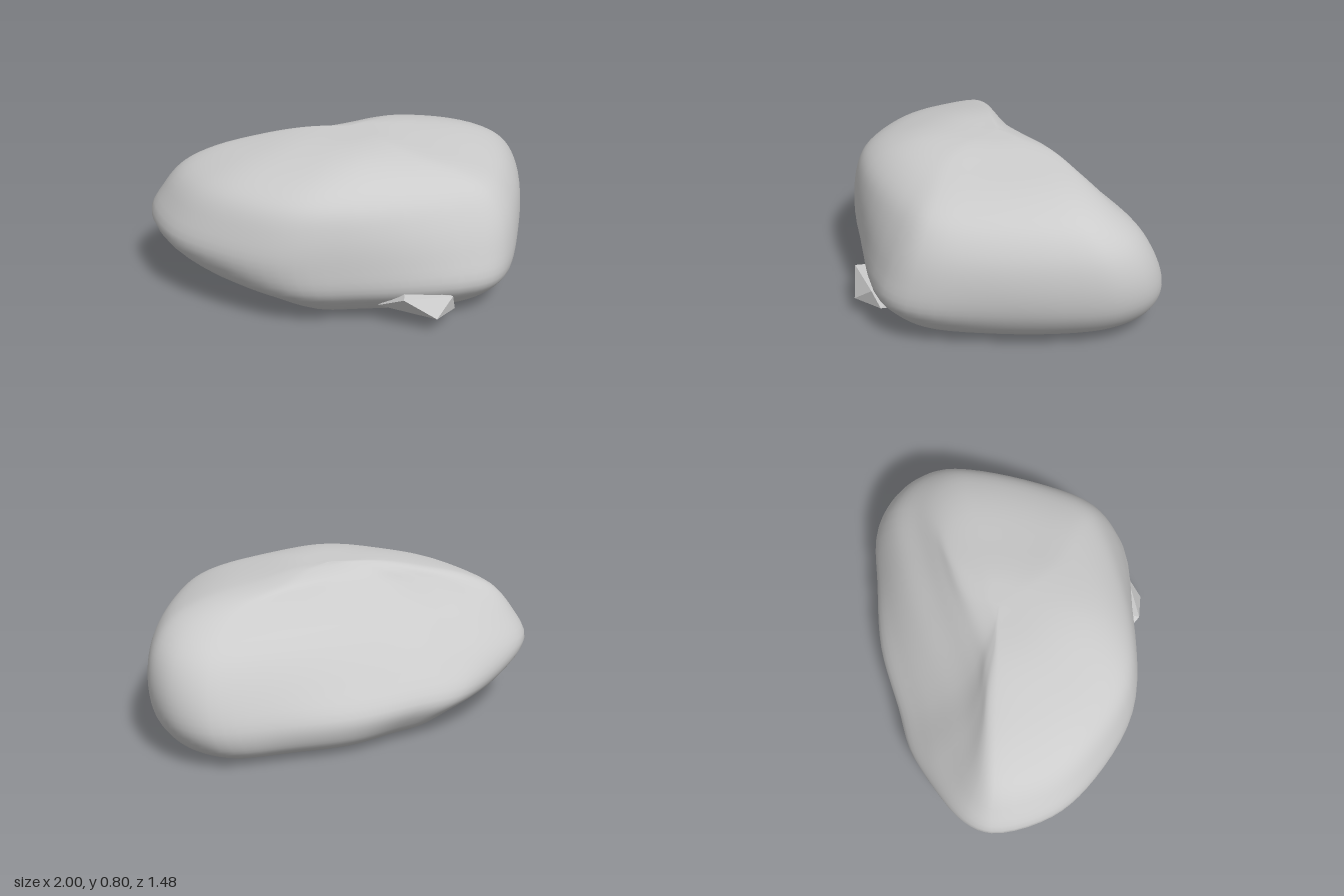
import * as THREE from 'three';
import { ConvexGeometry } from 'three/addons/geometries/ConvexGeometry.js';

// Widest outline of the boulder seen from above: x, z, and how far z is cut back towards the top
const OUTLINE = [
  [-1, -0.11, 0], [-0.92, 0.2, 0], [-0.73, 0.42, 0], [-0.38, 0.63, 0], [0, 0.66, 0],
  [0.6, 0.65, 0.22], [0.76, 0.54, 0.22], [0.9, 0.18, 0.1], [0.99, -0.25, 0], [0.985, -0.46, 0],
  [0.9, -0.63, 0], [0.74, -0.73, 0], [0.42, -0.725, 0.1], [0.05, -0.695, 0.33], [-0.35, -0.595, 0.56],
  [-0.65, -0.515, 0.56], [-0.92, -0.31, 0.4],
];

// Levels: height, then reach to -x, +x, -z, +z
const LEVELS = [
  [0.012, 0.03, 0.03, -0.07, -0.03],
  [0.012, -0.25, 0.42, -0.32, 0.24],
  [0.012, -0.48, 0.77, -0.58, 0.45],
  [0.045, -0.56, 0.85, -0.66, 0.51],
  [0.10, -0.66, 0.92, -0.71, 0.575],
  [0.20, -0.86, 0.98, -0.73, 0.65],
  [0.35, -1.0, 1.0, -0.69, 0.66],
  [0.50, -0.93, 0.97, -0.605, 0.645],
  [0.62, -0.83, 0.88, -0.475, 0.605],
  [0.70, -0.67, 0.71, -0.38, 0.525],
  [0.76, -0.42, 0.42, -0.28, 0.39],
  [0.795, -0.2, 0.22, -0.14, 0.2],
  [0.803, 0.03, 0.07, -0.07, -0.03],
];

const CX = 0.05, CZ = -0.05;

// Point of the widest outline moved to the reach of one level
function levelPoint([x, z, cut], [y, left, right, back, front]) {
  const k = 1 - cut * THREE.MathUtils.clamp((y - 0.2) / 0.52, 0, 1);
  const px = x < CX ? CX + (x - CX) * (left - CX) / (-1 - CX) : CX + (x - CX) * (right - CX) / (1 - CX);
  const pz = z < CZ ? (z - CZ) * (back - CZ) / (-0.73 - CZ) : (z - CZ) * (front - CZ) / (0.66 - CZ);
  return new THREE.Vector3(px, y, CZ + pz * k);
}

function boulderGeometry(rows = 52, cols = 85) {
  const columns = OUTLINE.map(p =>
    new THREE.CatmullRomCurve3(LEVELS.map(l => levelPoint(p, l)), false, 'centripetal'));
  const pos = [], index = [];
  for (let i = 0; i <= rows; i++) {
    const ring = new THREE.CatmullRomCurve3(columns.map(c => c.getPoint(i / rows)), true, 'centripetal');
    for (let j = 0; j < cols; j++) {
      const p = ring.getPoint(j / cols);
      // gentle weathering, fading out at the flat underside
      const bump = 0.004 * Math.sin(7 * p.x + 5 * p.y) * Math.sin(8 * p.z - 6 * p.y + 2 * p.x)
        * THREE.MathUtils.smoothstep(p.y, 0.03, 0.25);
      pos.push(p.x, Math.max(0.008, p.y + bump), p.z);
    }
  }
  for (let i = 0; i < rows; i++) {
    for (let j = 0; j < cols; j++) {
      const k = (j + 1) % cols;
      const a = i * cols + j, b = i * cols + k, c = a + cols, d = b + cols;
      index.push(a, b, d, a, d, c);
    }
  }
  // close the small holes at both poles
  const last = rows * cols;
  for (let j = 1; j < cols - 1; j++) {
    index.push(0, j + 1, j, last, last + j, last + j + 1);
  }
  const geometry = new THREE.BufferGeometry();
  geometry.setAttribute('position', new THREE.Float32BufferAttribute(pos, 3));
  geometry.setIndex(index);
  geometry.computeVertexNormals();
  return geometry;
}

export function createModel() {
  const model = new THREE.Group();
  model.name = 'rock';
  const smooth = new THREE.MeshStandardMaterial({ color: 0xcccccc });
  const faceted = new THREE.MeshStandardMaterial({ color: 0xcccccc, flatShading: true });

  const add = (name, geometry, material) => {
    const mesh = new THREE.Mesh(geometry, material);
    mesh.name = name;
    model.add(mesh);
    return mesh;
  };

  add('boulder', boulderGeometry(), smooth);

  // angular stone sticking out at the foot of the front
  const shard = [
    [0.21, 0.19, 0.71], [0.37, 0.09, 0.735], [0.46, 0.17, 0.66], [0.48, 0.08, 0.62],
    [0.1, 0.11, 0.6], [0.23, 0.2, 0.62], [0.3, 0.01, 0.46], [0.26, 0, 0.4], [0.34, 0, 0.4], [0.3, 0.15, 0.4],
  ].map(p => new THREE.Vector3(...p));
  add('frontStone', new ConvexGeometry(shard), faceted);

  // small stone just showing through the underside
  const pebble = add('undersidePebble', new THREE.CylinderGeometry(0.06, 0.04, 0.06, 6), faceted);
  pebble.position.set(0.35, 0.03, -0.27);

  return model;
}
